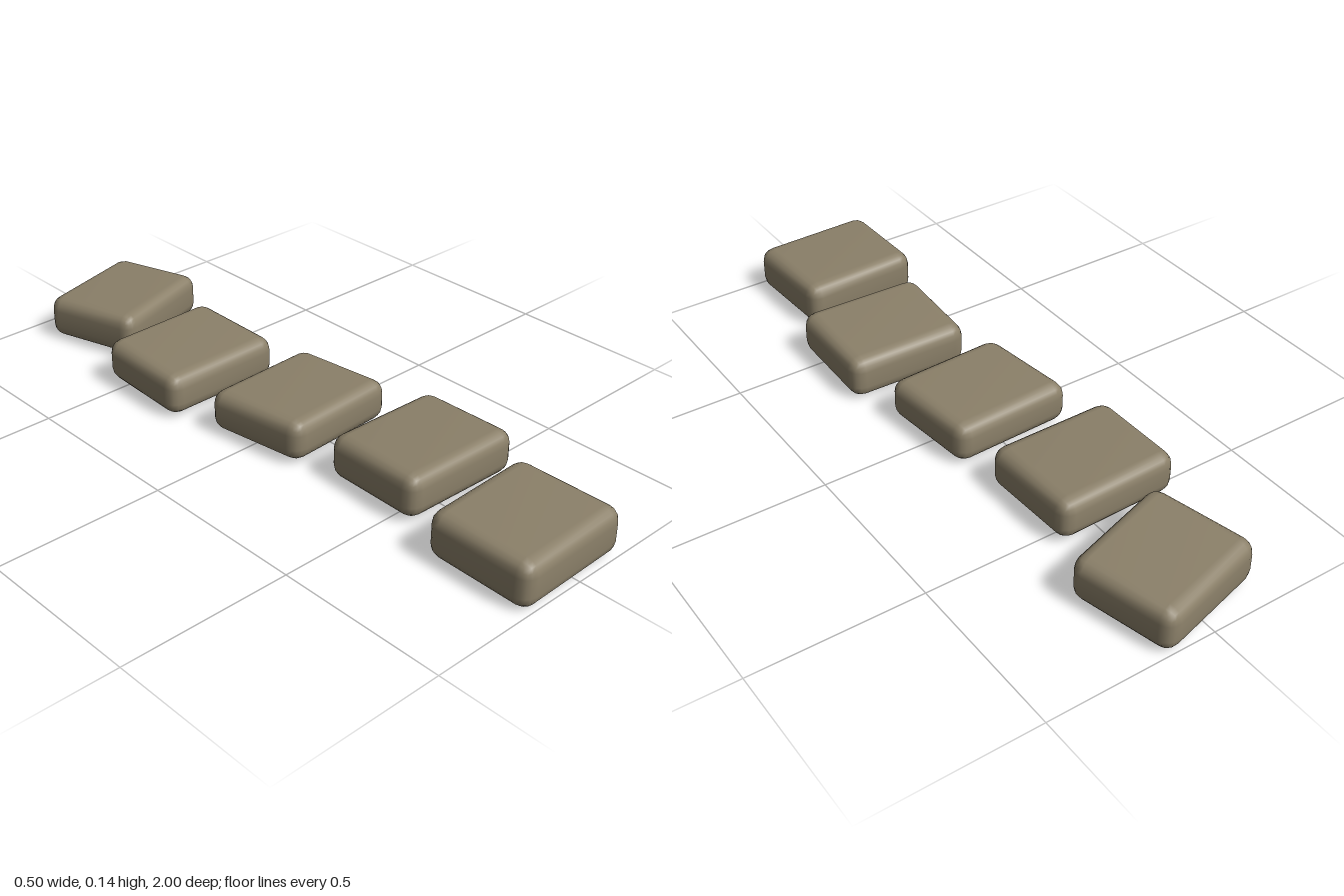
import * as THREE from 'three';
import { RoundedBoxGeometry } from 'three/addons/geometries/RoundedBoxGeometry.js';
import { mergeVertices } from 'three/addons/utils/BufferGeometryUtils.js';

const W = 0.37, D = 0.32, BEVEL = 0.04;

// Plan corners [x, z]: back left-hand, back right-hand, front right-hand, front left-hand;
// bottom and top height; slope is the rise in y per unit of z.
const STONES = [
  { plan: [[-0.205, -0.915], [0.15, -1.01], [0.23, -0.715], [-0.125, -0.605]], y: [0.008, 0.138], slope: 0.03 },
  { plan: [[-0.247, -0.558], [0.13, -0.566], [0.136, -0.243], [-0.252, -0.242]], y: [0.012, 0.138], slope: -0.03 },
  { plan: [[-0.207, -0.14], [0.165, -0.153], [0.199, 0.16], [-0.165, 0.177]], y: [0.011, 0.134], slope: 0.01 },
  { plan: [[-0.127, 0.255], [0.249, 0.265], [0.245, 0.585], [-0.142, 0.574]], y: [0.01, 0.14], slope: 0.025 },
  { plan: [[-0.205, 0.677], [0.163, 0.663], [0.174, 0.991], [-0.205, 1.0]], y: [0.005, 0.141], slope: -0.02 },
];

// Bevelled slab whose outline is bent to an uneven four-cornered plan
function stoneGeometry({ plan, y, slope }) {
  const height = y[1] - y[0];
  const box = new RoundedBoxGeometry(W, height, D, 2, BEVEL);
  box.deleteAttribute('normal');
  box.deleteAttribute('uv');
  box.clearGroups();
  const geometry = mergeVertices(box, 1e-4);
  const pos = geometry.attributes.position;
  const [a, b, c, d] = plan;
  for (let i = 0; i < pos.count; i++) {
    const u = pos.getX(i) / W + 0.5, v = pos.getZ(i) / D + 0.5;
    const blend = (k) => (1 - v) * ((1 - u) * a[k] + u * b[k]) + v * ((1 - u) * d[k] + u * c[k]);
    const tilt = slope * pos.getZ(i);
    pos.setXYZ(i, blend(0), pos.getY(i) + (y[0] + y[1]) / 2 + tilt, blend(1));
  }
  geometry.computeVertexNormals();
  return geometry;
}

export function createModel() {
  const group = new THREE.Group();
  group.name = 'steppingStones';
  const stone = new THREE.MeshStandardMaterial({ color: 0x8b8069 });
  stone.name = 'stone';

  // Row of stepping stones from back to front
  STONES.forEach((spec, i) => {
    const mesh = new THREE.Mesh(stoneGeometry(spec), stone);
    mesh.name = `steppingStone${i + 1}`;
    group.add(mesh);
  });
  return group;
}
